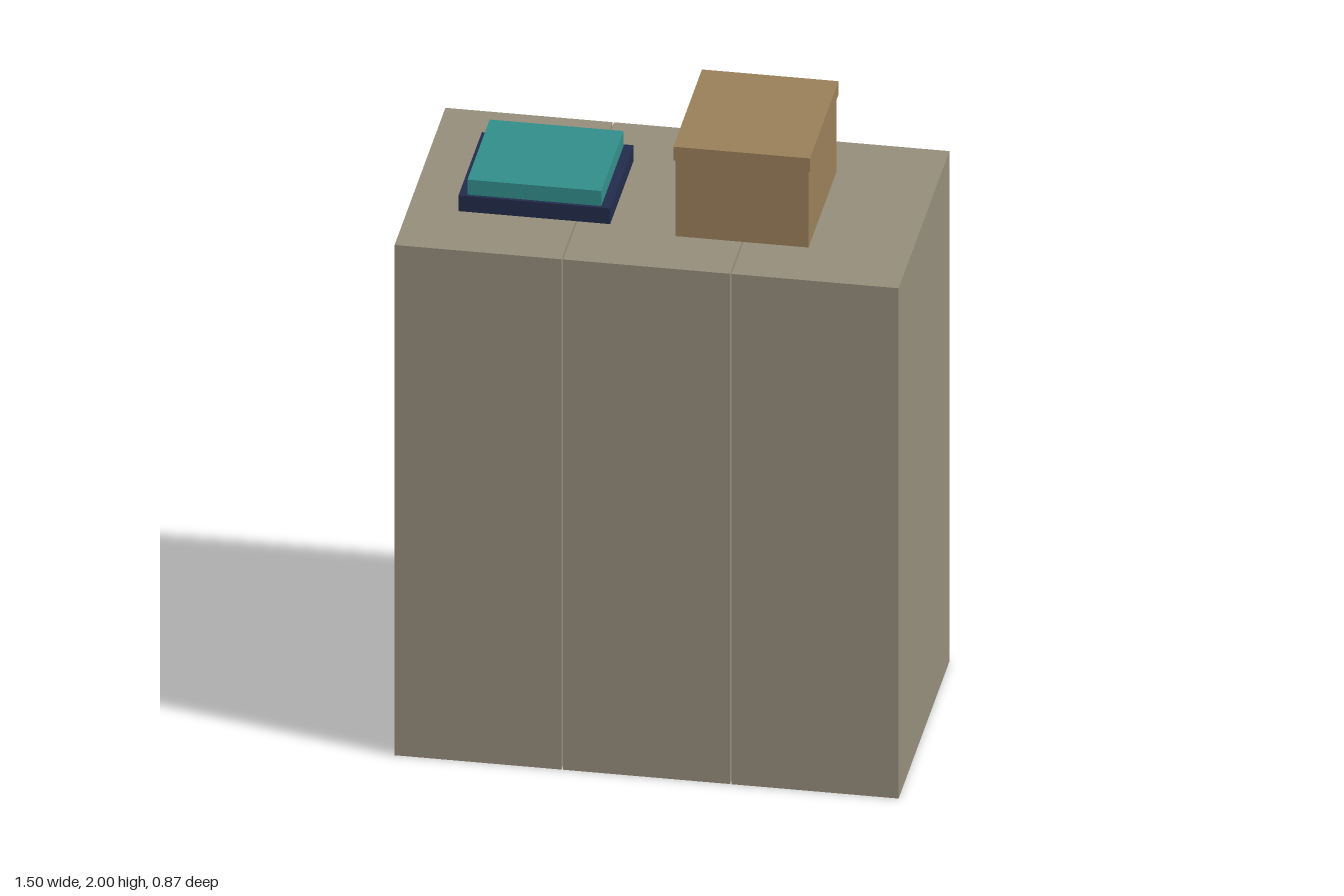
import * as THREE from 'three';

const paint = (color) => new THREE.MeshStandardMaterial({ color });
const beige = paint(0x948d7b);
const cardboard = paint(0x9a7f5a);
const navy = paint(0x222c4c);
const teal = paint(0x328d8a);
const metal = paint(0xa3a5a8);
const darkMetal = paint(0x55575a);
const card = paint(0xc4c4bc);

// Box given by its extents on each axis
function block(name, material, [x0, x1], [y0, y1], [z0, z1]) {
  const mesh = new THREE.Mesh(new THREE.BoxGeometry(x1 - x0, y1 - y0, z1 - z0), material);
  mesh.position.set((x0 + x1) / 2, (y0 + y1) / 2, (z0 + z1) / 2);
  mesh.name = name;
  return mesh;
}

// Drawer front with a label holder and a hooked pull; y = 0 at its lower edge
function makeDrawer() {
  const drawer = new THREE.Group();
  drawer.name = 'drawer';
  drawer.add(
    block('drawerFront', beige, [-0.2375, 0.2375], [0, 0.395], [-0.425, -0.41]),
    block('labelHolder', metal, [-0.055, 0.055], [0.275, 0.32], [-0.428, -0.425]),
    block('labelCard', card, [-0.049, 0.049], [0.281, 0.314], [-0.43, -0.428]),
    block('pullTop', metal, [-0.0925, 0.0925], [0.27, 0.275], [-0.438, -0.425]),
    block('pullLip', metal, [-0.0925, 0.0925], [0.252, 0.27], [-0.438, -0.433])
  );
  return drawer;
}

function makeCabinet() {
  const cabinet = new THREE.Group();
  cabinet.name = 'cabinet';
  cabinet.add(block('cabinetBody', beige, [-0.2475, 0.2475], [0, 1.7], [-0.41, 0.435]));
  for (let i = 0; i < 4; i++) {
    const drawer = makeDrawer();
    drawer.position.y = 0.07 + i * 0.405;
    cabinet.add(drawer);
  }
  // Round lock in the upper corner of the top drawer
  const lock = new THREE.Mesh(new THREE.CylinderGeometry(0.016, 0.016, 0.006, 20), metal);
  lock.rotation.x = Math.PI / 2;
  lock.position.set(0.187, 1.653, -0.427);
  lock.name = 'lock';
  cabinet.add(lock, block('keySlot', darkMetal, [0.185, 0.189], [1.645, 1.661], [-0.431, -0.429]));
  return cabinet;
}

export function createModel() {
  const model = new THREE.Group();
  model.name = 'filingCabinets';

  // Three cabinets side by side with narrow gaps
  for (const x of [-0.5, 0, 0.5]) {
    const cabinet = makeCabinet();
    cabinet.position.x = x;
    model.add(cabinet);
  }

  // Cardboard box with a slightly larger lid
  const box = new THREE.Group();
  box.name = 'storageBox';
  box.add(
    block('boxBody', cardboard, [0.05, 0.445], [1.7, 1.955], [-0.228, 0.238]),
    block('boxLid', cardboard, [0.045, 0.45], [1.955, 2], [-0.233, 0.243])
  );
  model.add(box);

  // Stack of two binders
  const binders = new THREE.Group();
  binders.name = 'binders';
  binders.add(
    block('lowerBinder', navy, [-0.6, -0.15], [1.7, 1.752], [-0.19, 0.2]),
    block('upperBinder', teal, [-0.575, -0.178], [1.752, 1.802], [-0.18, 0.19])
  );
  model.add(binders);
  return model;
}
